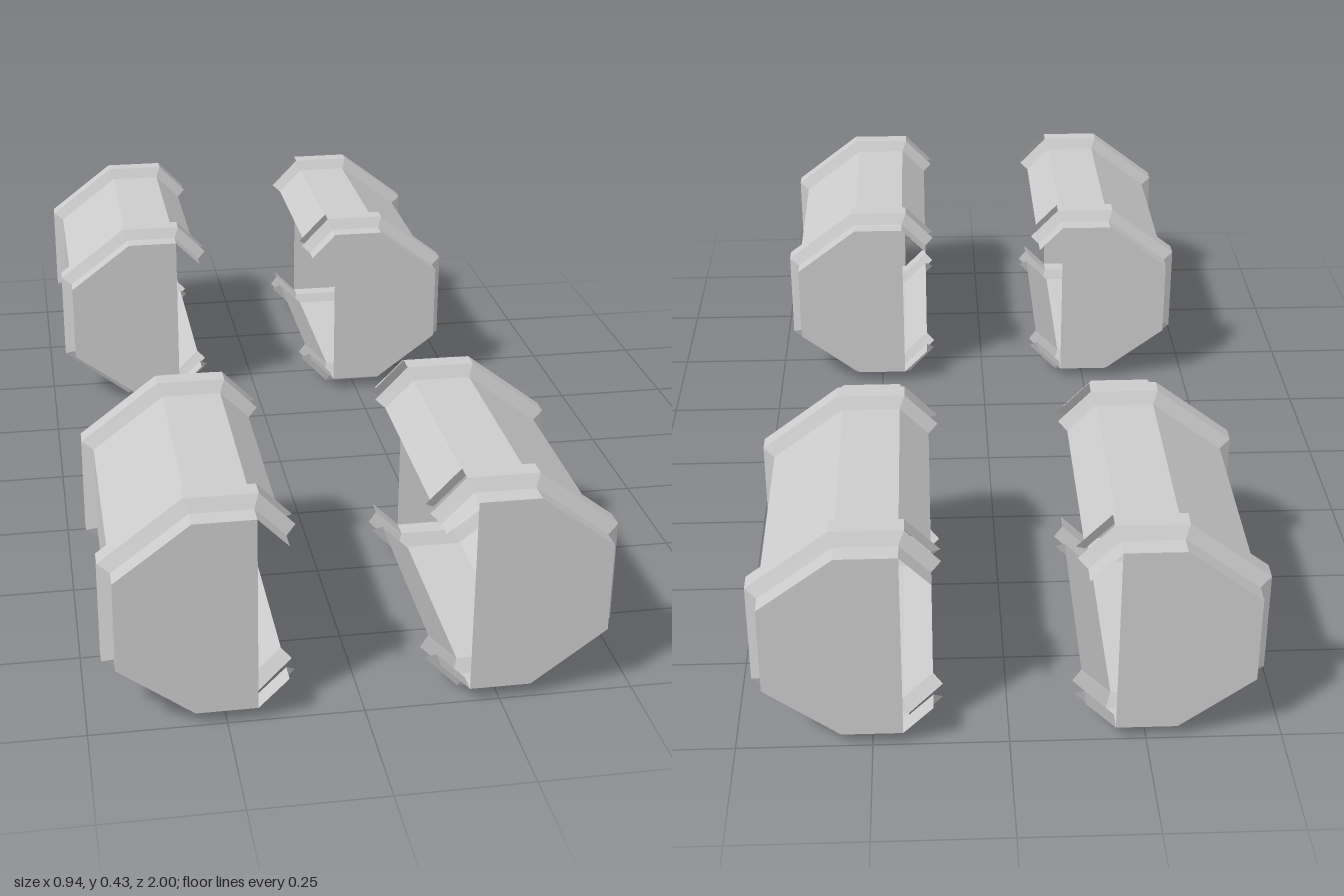
import * as THREE from 'three';

const material = new THREE.MeshStandardMaterial({ color: 0xcccccc, flatShading: true, side: THREE.DoubleSide });

// C-shaped cross-sections, from the upper lip round the outside to the lower lip
const INNER = [[0.138, 0.352], [0.194, 0.409], [0.307, 0.409], [0.446, 0.304],
  [0.446, 0.129], [0.307, 0.026], [0.194, 0.026], [0.138, 0.082]];
const OUTER = [[0.12, 0.366], [0.184, 0.432], [0.317, 0.432], [0.468, 0.317],
  [0.468, 0.118], [0.317, 0], [0.184, 0], [0.12, 0.067]];

const HALF = 0.31;        // half length of a pod
const BAND_Z = 0.24;      // band centre, from the pod's middle
const BAND_FOOT = 0.032;  // half width of a band where it meets the shell
const BAND_TOP = 0.018;   // half width of its raised face

// Joins two cross-sections with quads; the lips can be left open
function strip(name, p, z0, q, z1, openLips = false) {
  const pos = [];
  const first = openLips ? 1 : 0;
  for (let i = first; i < p.length - 1 - first; i++) {
    const a = [...p[i], z0], b = [...p[i + 1], z0];
    const c = [...q[i + 1], z1], d = [...q[i], z1];
    pos.push(...a, ...d, ...c, ...a, ...c, ...b);
  }
  const geo = new THREE.BufferGeometry();
  geo.setAttribute('position', new THREE.Float32BufferAttribute(pos, 3));
  geo.computeVertexNormals();
  const mesh = new THREE.Mesh(geo, material);
  mesh.name = name;
  return mesh;
}

// Hollow raised band whose lips are only side flanges
function createBand(z) {
  const band = new THREE.Group();
  band.name = 'raisedBand';
  band.add(
    strip('bandFlange', INNER, z - BAND_FOOT, OUTER, z - BAND_TOP),
    strip('bandFace', OUTER, z - BAND_TOP, OUTER, z + BAND_TOP, true),
    strip('bandFlange', OUTER, z + BAND_TOP, INNER, z + BAND_FOOT)
  );
  return band;
}

function createPod() {
  const pod = new THREE.Group();
  // Shell sections before, between and after the bands
  const near = BAND_Z - BAND_FOOT, far = BAND_Z + BAND_FOOT;
  for (const [z0, z1] of [[-HALF, -far], [-near, near], [far, HALF]]) {
    pod.add(strip('shell', INNER, z0, INNER, z1));
  }
  // Flat end caps, without the lips
  const outline = new THREE.Shape(INNER.slice(1, -1).map(([x, y]) => new THREE.Vector2(x, y)));
  for (const side of [-1, 1]) {
    pod.add(createBand(side * BAND_Z));
    const cap = new THREE.Mesh(new THREE.ShapeGeometry(outline), material);
    cap.name = 'endCap';
    cap.position.z = side * HALF;
    pod.add(cap);
  }
  return pod;
}

export function createModel() {
  const model = new THREE.Group();
  model.name = 'podSet';
  // Four pods with their open sides facing the middle
  for (const end of [1, -1]) {
    for (const side of [1, -1]) {
      const pod = createPod();
      pod.name = (end > 0 ? 'front' : 'back') + (side > 0 ? 'Left' : 'Right') + 'Pod';
      pod.position.z = end * (1 - HALF);
      if (side < 0) pod.rotation.y = Math.PI;
      model.add(pod);
    }
  }
  return model;
}
